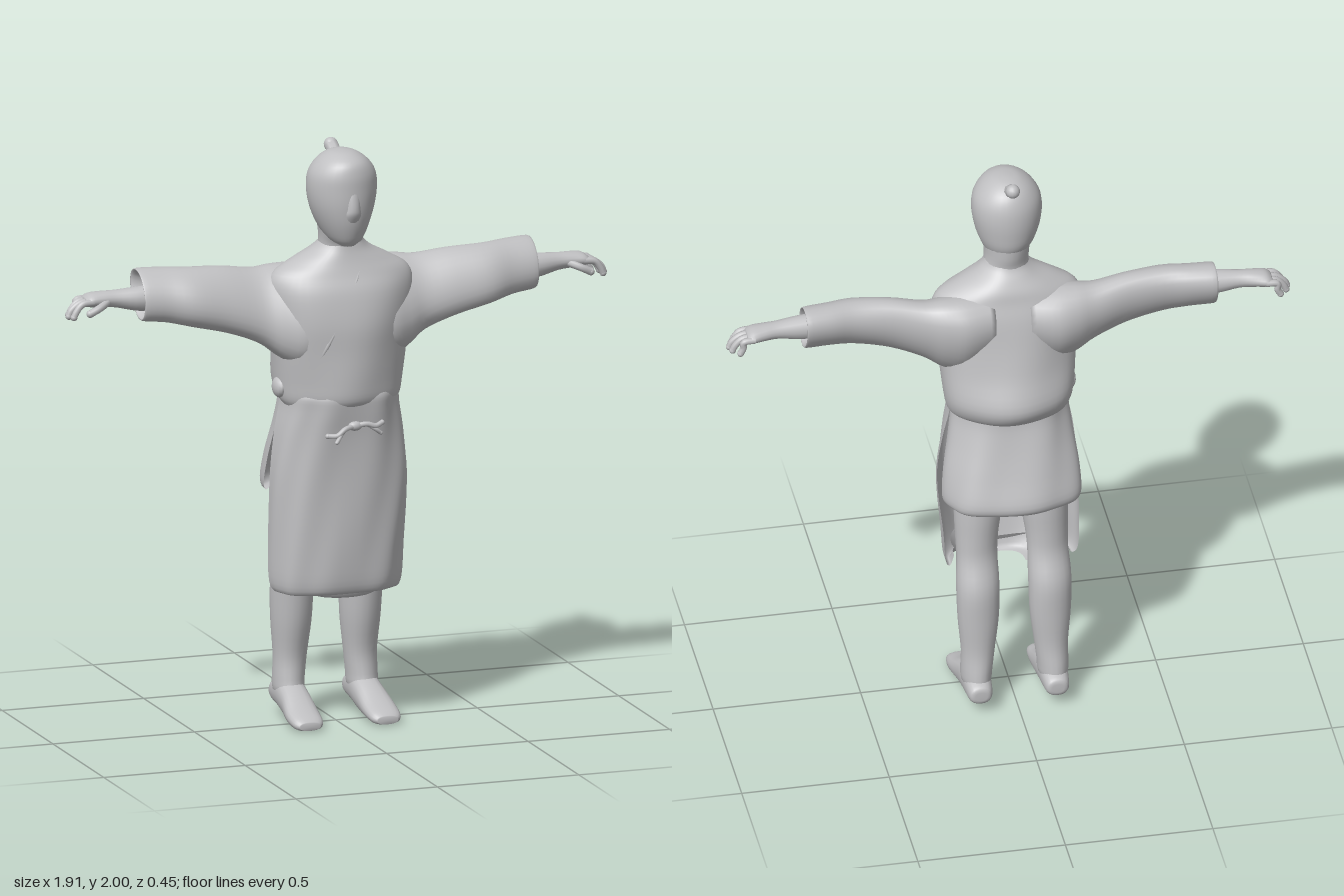
import * as THREE from 'three';

const gray = new THREE.MeshStandardMaterial({ color: 0xc0c0c2, side: THREE.DoubleSide });
gray.name = 'clay gray';

// Smooth interpolation through section rows
function refine(rows, sub) {
  const out = [];
  for (let i = 0; i < rows.length - 1; i++) {
    const p = rows[Math.max(i - 1, 0)], q = rows[i], r = rows[i + 1];
    const s = rows[Math.min(i + 2, rows.length - 1)];
    for (let k = 0; k < sub; k++) {
      const t = k / sub;
      out.push(q.map((v, j) => v + 0.5 * t * (r[j] - p[j] + t * (2 * p[j] - 5 * v + 4 * r[j] - s[j]
        + t * (3 * (v - r[j]) + s[j] - p[j])))));
    }
  }
  out.push(rows[rows.length - 1]);
  return out;
}

const place = {
  y: (t, a, b) => [a, t, b], // row: y, x, z, rx, rz
  x: (t, a, b) => [t, b, a], // row: x, z, y, rz, ry
  z: (t, a, b) => [b, a, t], // row: z, y, x, ry, rx
};

// Skin over oval sections; an arc shorter than a full turn gives an open sheet
function loft(name, axis, rows, { n = 28, from = 0, arc = Math.PI * 2, square = 1, fold = 0, waves = 5, lean = 0 } = {}) {
  const closed = arc > 6.28;
  const rings = refine(rows, 4);
  if (closed) {
    const pinch = (r) => [r[0], r[1], r[2], 0, 0];
    rings.unshift(pinch(rings[0]));
    rings.push(pinch(rings[rings.length - 1]));
  }
  const m = closed ? n : n + 1;
  const pos = [], idx = [];
  const soft = (v) => Math.sign(v) * Math.abs(v) ** square;
  rings.forEach(([t, a, b, ra, rb]) => {
    for (let i = 0; i < m; i++) {
      const w = from + (arc * i) / n;
      const f = 1 + fold * Math.sin(w * waves + t * 9);
      const v = rb * f * soft(Math.sin(w));
      pos.push(...place[axis](t, a + ra * f * soft(Math.cos(w)) - lean * v, b + v));
    }
  });
  const flip = rows[0][0] > rows[rows.length - 1][0];
  for (let j = 0; j < rings.length - 1; j++) {
    for (let i = 0; i < n; i++) {
      const a = j * m + i, b = j * m + ((i + 1) % m), c = a + m, d = b + m;
      if (flip) idx.push(a, b, c, b, d, c);
      else idx.push(a, c, b, b, c, d);
    }
  }
  const g = new THREE.BufferGeometry();
  g.setAttribute('position', new THREE.Float32BufferAttribute(pos, 3));
  g.setIndex(idx);
  g.computeVertexNormals();
  return mesh(name, g);
}

function mesh(name, geometry) {
  const m = new THREE.Mesh(geometry, gray);
  m.name = name;
  return m;
}

function ball(name, x, y, z, rx, ry, rz) {
  const m = mesh(name, new THREE.SphereGeometry(1, 14, 10));
  m.position.set(x, y, z);
  m.scale.set(rx, ry, rz);
  return m;
}

function tube(name, points, r) {
  const g = new THREE.Group();
  g.name = name;
  const pts = points.map((p) => new THREE.Vector3(...p));
  g.add(mesh(name + 'Cord', new THREE.TubeGeometry(new THREE.CatmullRomCurve3(pts), 14, r, 8)));
  const e = pts[pts.length - 1];
  g.add(ball(name + 'Tip', e.x, e.y, e.z, r, r, r));
  return g;
}

// Sleeve, forearm and hand on side s
function arm(s) {
  const g = new THREE.Group();
  g.name = s > 0 ? 'leftArm' : 'rightArm';
  const side = (rows) => rows.map(([x, ...r]) => [x * s, ...r]);
  g.add(loft('sleeve', 'x', side([
    [0.06, 0.03, 1.44, 0.13, 0.14], [0.15, 0.02, 1.42, 0.138, 0.162], [0.22, 0.012, 1.428, 0.118, 0.15],
    [0.29, 0.01, 1.45, 0.092, 0.122], [0.4, 0.02, 1.48, 0.078, 0.108], [0.52, 0.022, 1.5, 0.077, 0.096],
    [0.61, 0.002, 1.513, 0.074, 0.088], [0.69, -0.01, 1.518, 0.074, 0.084], [0.684, -0.008, 1.518, 0.064, 0.072],
    [0.62, 0, 1.515, 0.05, 0.052],
  ]), { fold: 0.025, waves: 3, lean: 0.3 }));
  g.add(loft('forearm', 'x', side([
    [0.6, 0.01, 1.51, 0.04, 0.045], [0.7, 0.01, 1.508, 0.04, 0.042], [0.78, 0.003, 1.513, 0.033, 0.03],
    [0.83, -0.003, 1.514, 0.038, 0.027], [0.87, -0.008, 1.513, 0.045, 0.023], [0.89, -0.008, 1.508, 0.04, 0.014],
  ]), { n: 16 }));
  for (let i = 0; i < 4; i++) {
    const z = -0.043 + i * 0.023;
    const reach = [0.915, 0.938, 0.945, 0.935][i];
    g.add(tube('finger', [[s * 0.865, 1.512, z], [s * 0.905, 1.507, z], [s * (reach - 0.01), 1.485, z],
      [s * reach, 1.465, z]], 0.0115));
  }
  g.add(tube('thumb', [[s * 0.81, 1.51, 0.02], [s * 0.85, 1.495, 0.045], [s * 0.885, 1.478, 0.046]], 0.013));
  return g;
}

// Bare leg and foot on side s
function leg(s) {
  const g = new THREE.Group();
  g.name = s > 0 ? 'leftLeg' : 'rightLeg';
  const side = (rows) => rows.map(([t, a, ...r]) => [t, a * s, ...r]);
  g.add(loft('shin', 'y', side([
    [0.06, 0.13, -0.115, 0.034, 0.055], [0.1, 0.13, -0.11, 0.05, 0.073], [0.14, 0.129, -0.112, 0.053, 0.068],
    [0.22, 0.124, -0.11, 0.057, 0.059], [0.34, 0.122, -0.1, 0.069, 0.069], [0.46, 0.122, -0.09, 0.073, 0.073],
    [0.56, 0.12, -0.066, 0.069, 0.061], [0.64, 0.118, -0.055, 0.073, 0.063], [0.78, 0.11, -0.045, 0.083, 0.07],
    [1.1, 0.095, -0.01, 0.09, 0.085],
  ]), { n: 20, fold: 0.02, waves: 3 }));
  g.add(loft('foot', 'z', [
    [-0.205, 0.078, 0.13, 0.016, 0.02], [-0.19, 0.08, 0.13, 0.036, 0.04], [-0.1, 0.085, 0.13, 0.055, 0.05],
    [-0.03, 0.068, 0.131, 0.052, 0.053], [0.05, 0.042, 0.136, 0.034, 0.058], [0.11, 0.028, 0.137, 0.023, 0.053],
    [0.132, 0.022, 0.137, 0.013, 0.036],
  ].map(([z, y, x, ry, rx]) => [z, y, x * s, ry, rx]), { n: 20, square: 0.85 }));
  return g;
}

export function createModel() {
  const model = new THREE.Group();
  model.name = 'robedFigure';

  // Bloused jacket with an overlapping front edge
  model.add(loft('jacket', 'y', [
    [1.07, 0, 0.02, 0.17, 0.12], [1.11, 0, 0.025, 0.195, 0.152], [1.14, 0, 0.015, 0.212, 0.182],
    [1.2, 0, 0.007, 0.222, 0.195], [1.3, 0, 0.025, 0.23, 0.178], [1.4, 0, 0.038, 0.238, 0.165],
    [1.5, 0, 0.04, 0.25, 0.144], [1.56, 0, 0.037, 0.235, 0.12], [1.6, 0, 0.035, 0.175, 0.105],
    [1.635, 0, 0.04, 0.11, 0.088], [1.66, 0, 0.048, 0.08, 0.074], [1.68, 0, 0.052, 0.068, 0.066],
  ], { n: 48, fold: 0.012, waves: 6 }));
  model.add(tube('lapel', [[0.05, 1.62, 0.1], [0.03, 1.57, 0.142], [-0.02, 1.48, 0.178], [-0.085, 1.35, 0.184],
    [-0.15, 1.22, 0.142]], 0.008));
  model.add(ball('hipBundle', -0.212, 1.17, 0.03, 0.022, 0.035, 0.04));

  // Long front panel with its lining, and short back flap
  model.add(loft('frontPanel', 'y', [
    [0.5, -0.01, 0.03, 0.19, 0.085], [0.468, -0.01, 0.02, 0.205, 0.115], [0.5, -0.01, 0.005, 0.224, 0.15],
    [0.62, -0.008, 0, 0.23, 0.162], [0.85, 0, 0, 0.238, 0.166], [1.0, 0, 0, 0.222, 0.174],
    [1.1, 0, 0, 0.202, 0.187], [1.15, 0, 0.005, 0.195, 0.185], [1.18, 0, 0.005, 0.18, 0.168],
  ], { n: 40, arc: Math.PI, square: 0.78, fold: 0.015, waves: 9 }));
  model.add(loft('frontLining', 'y', [
    [0.447, 0.01, 0.03, 0.075, 0.07], [0.465, 0.005, 0.02, 0.13, 0.1], [0.56, 0, 0.01, 0.19, 0.135],
  ], { n: 24, arc: Math.PI, square: 0.8 }));
  model.add(loft('backFlap', 'y', [
    [0.815, 0, -0.07, 0.2, 0.11], [0.795, 0, -0.075, 0.225, 0.128], [0.83, 0, -0.07, 0.234, 0.15],
    [0.92, 0, -0.05, 0.226, 0.14], [1.02, 0, -0.02, 0.21, 0.136], [1.1, 0, 0, 0.2, 0.132],
    [1.16, 0, 0.005, 0.195, 0.13],
  ], { n: 40, from: Math.PI, arc: Math.PI, square: 0.9, fold: 0.02, waves: 7 }));

  // Waist cord knot
  model.add(ball('knot', 0, 1.055, 0.19, 0.025, 0.016, 0.015));
  model.add(tube('knotLoopRight', [[0, 1.055, 0.19], [-0.04, 1.05, 0.205], [-0.07, 1.03, 0.208], [-0.1, 1.03, 0.2]], 0.009));
  model.add(tube('knotTailRight', [[0, 1.055, 0.19], [-0.04, 1.045, 0.2], [-0.075, 1.01, 0.22]], 0.007));
  model.add(tube('knotLoopLeft', [[0, 1.055, 0.19], [0.04, 1.06, 0.196], [0.07, 1.052, 0.198], [0.095, 1.06, 0.19]], 0.009));
  model.add(tube('knotTailLeft', [[0.04, 1.06, 0.19], [0.07, 1.04, 0.196], [0.09, 1.025, 0.192]], 0.007));

  // Neck, head and topknot
  model.add(loft('neck', 'y', [
    [1.6, 0, 0.045, 0.085, 0.075], [1.66, -0.003, 0.052, 0.076, 0.072], [1.71, -0.006, 0.063, 0.076, 0.09],
    [1.78, -0.01, 0.07, 0.088, 0.1],
  ], { n: 24 }));
  model.add(loft('head', 'y', [
    [1.662, -0.005, 0.125, 0.025, 0.03], [1.685, -0.005, 0.095, 0.06, 0.08], [1.74, -0.008, 0.083, 0.09, 0.112],
    [1.8, -0.01, 0.082, 0.11, 0.122], [1.86, -0.01, 0.082, 0.118, 0.123], [1.91, -0.01, 0.085, 0.111, 0.117],
    [1.95, -0.01, 0.088, 0.083, 0.098], [1.975, -0.01, 0.085, 0.045, 0.055], [1.982, -0.01, 0.08, 0.01, 0.012],
  ], { n: 32 }));
  model.add(loft('nose', 'y', [
    [1.74, -0.008, 0.18, 0.02, 0.01], [1.775, -0.008, 0.185, 0.03, 0.025], [1.8, -0.008, 0.185, 0.028, 0.029],
    [1.84, -0.008, 0.185, 0.025, 0.023], [1.88, -0.008, 0.185, 0.015, 0.012],
  ], { n: 16 }));
  model.add(tube('topknot', [[-0.01, 1.93, 0.04], [-0.012, 1.96, 0.015], [-0.014, 1.976, -0.01]], 0.024));

  for (const s of [1, -1]) model.add(arm(s), leg(s));
  return model;
}
